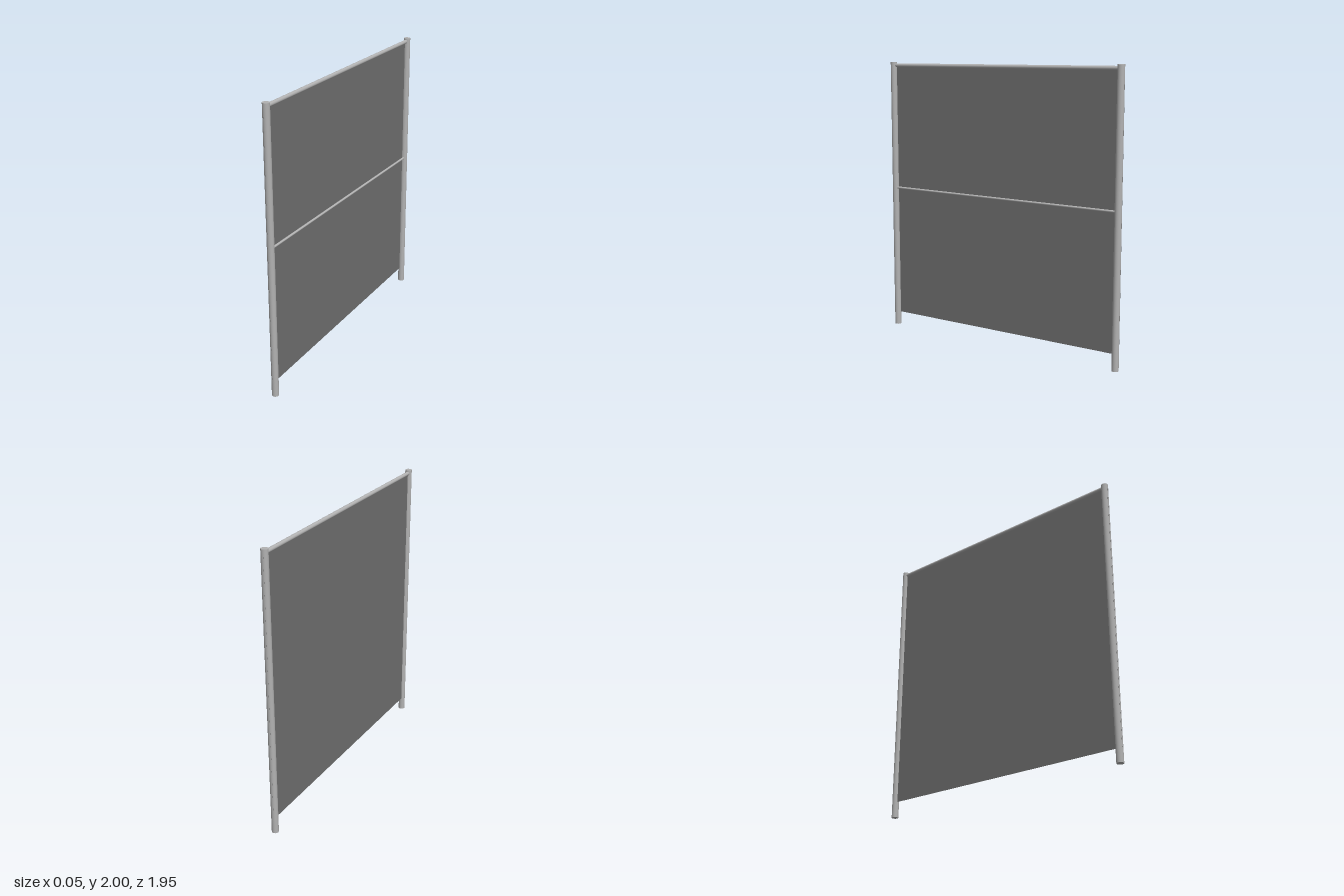
import * as THREE from 'three';

export function createModel() {
  const model = new THREE.Group();
  const metal = new THREE.MeshStandardMaterial({ color: 0xb2b2b2 });
  metal.name = 'light grey metal';
  const mesh = new THREE.MeshStandardMaterial({ color: 0x707070, side: THREE.DoubleSide });
  mesh.name = 'dark grey panel';

  const add = (name, geometry, material, x, y, z) => {
    const part = new THREE.Mesh(geometry, material);
    part.name = name;
    part.position.set(x, y, z);
    model.add(part);
  };
  const rail = (radius, length) =>
    new THREE.CylinderGeometry(radius, radius, length, 20).rotateX(Math.PI / 2);

  // Upright posts at both ends
  for (const [name, side] of [['frontPost', 1], ['backPost', -1]]) {
    add(name, new THREE.CylinderGeometry(0.024, 0.024, 2, 24), metal, 0, 1, side * 0.953);
  }

  // Top rail and the thin brace on the +x face
  add('topRail', rail(0.014, 1.88), metal, -0.002, 1.976, 0);
  add('middleRail', rail(0.008, 1.88), metal, 0.003, 1.063, 0);

  // Infill sheet with a slightly sloping lower edge (shape x runs along -z)
  const outline = new THREE.Shape([
    new THREE.Vector2(-0.977, 0.095),
    new THREE.Vector2(0.977, 0.111),
    new THREE.Vector2(0.977, 1.976),
    new THREE.Vector2(-0.977, 1.976),
  ]);
  add('panel', new THREE.ShapeGeometry(outline).rotateY(Math.PI / 2), mesh, -0.006, 0, 0);

  return model;
}
